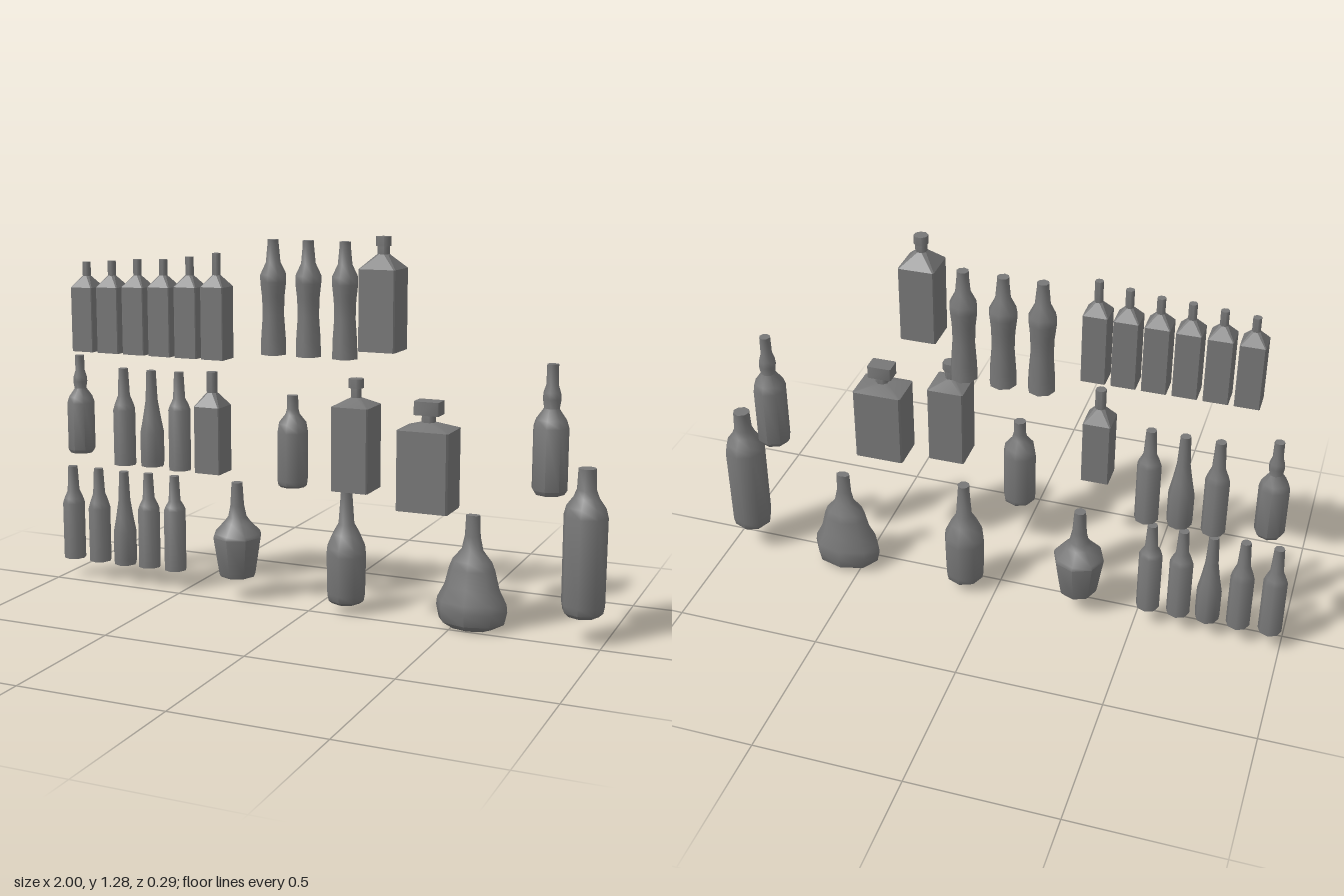
import * as THREE from 'three';
import { toCreasedNormals } from 'three/addons/utils/BufferGeometryUtils.js';

const ROUND_Z = -0.055, SQUARE_Z = 0.08;
const material = new THREE.MeshStandardMaterial({ color: 0x777777 });

function addMesh(parent, geometry, crease, name) {
  const mesh = new THREE.Mesh(toCreasedNormals(geometry, crease), material);
  mesh.name = name;
  parent.add(mesh);
  return mesh;
}

// Eight-sided turned bottle; profile is [radius, y] from base to mouth
function roundBottle(group, name, x, profile) {
  const points = [[0, profile[0][1]], ...profile, [0, profile[profile.length - 1][1]]];
  const geometry = new THREE.LatheGeometry(points.map(([r, y]) => new THREE.Vector2(r, y)), 8);
  const mesh = addMesh(group, geometry, 0.9, name);
  mesh.position.set(x, 0, ROUND_Z);
  return mesh;
}

// Chamfered rectangular rings [y, halfWidth, halfDepth, chamfer], skinned and closed
function loft(rings) {
  const position = [], index = [];
  for (const [y, w, d, c] of rings) {
    const ring = [[w, d - c], [w - c, d], [c - w, d], [-w, d - c],
      [-w, c - d], [c - w, -d], [w - c, -d], [w, c - d]];
    for (const [px, pz] of ring) position.push(px, y, pz);
  }
  const last = (rings.length - 1) * 8;
  for (let r = 0; r < last; r += 8) {
    for (let i = 0; i < 8; i++) {
      const a = r + i, b = r + (i + 1) % 8;
      index.push(a, a + 8, b, b, a + 8, b + 8);
    }
  }
  for (let i = 1; i < 7; i++) {
    index.push(0, i, i + 1, last, last + i + 1, last + i);
  }
  const geometry = new THREE.BufferGeometry();
  geometry.setAttribute('position', new THREE.Float32BufferAttribute(position, 3));
  geometry.setIndex(index);
  return geometry;
}

// Square bottle: body with sloping shoulder, octagonal neck and an optional stopper
function squareBottle(group, name, x, { base, shoulder, neckBase, top, w, d = w, neck, cap }) {
  const bottle = new THREE.Group();
  bottle.name = name;
  bottle.position.set(x, 0, SQUARE_Z);
  group.add(bottle);

  const c = w * 0.07, oct = neck * 0.586;
  addMesh(bottle, loft([[base, w, d, c], [shoulder, w, d, c], [neckBase, neck, neck, oct]]), 0.5, 'body');
  const neckTop = cap ? cap.y : top;
  addMesh(bottle, loft([[neckBase, neck, neck, oct], [neckTop, neck, neck, oct]]), 0.9, 'neck');
  if (cap) {
    addMesh(bottle, loft([[cap.y, cap.w, cap.d, cap.c], [top, cap.w, cap.d, cap.c]]), 0.9, 'stopper');
  }
}

// Common profile with a straight body
const straight = (base, shoulder, neckBase, top, r) => [
  [r, base], [r, shoulder], [r * 0.85, shoulder + (neckBase - shoulder) * 0.4],
  [0.022, neckBase], [0.017, top]];

// Long tapering shoulder
const tapered = (base, r) => [
  [r * 0.95, base], [r, base + 0.02], [r, base + 0.12], [r * 0.75, base + 0.175],
  [0.022, base + 0.235], [0.017, base + 0.34]];

// Bulb-necked bottle, built at size s
const bulbNeck = (base, s) => [
  [0.048, 0], [0.058, 0.015], [0.058, 0.215], [0.05, 0.24], [0.025, 0.275],
  [0.03, 0.305], [0.028, 0.325], [0.02, 0.35], [0.019, 0.415]
].map(([r, y]) => [r * s, base + y * s]);

export function createModel() {
  const group = new THREE.Group();
  group.name = 'bottleCollection';

  // Top row: small square bottles of rising height
  [1.165, 1.172, 1.18, 1.183, 1.195, 1.21].forEach((top, i) => {
    squareBottle(group, 'smallSquareBottle', -0.794 + i * 0.0995,
      { base: 0.86, shoulder: 1.08 + i * 0.004, neckBase: 1.118 + i * 0.004, top, w: 0.041, neck: 0.013 });
  });

  // Top row: waisted bottles
  for (const x of [-0.153, -0.025, 0.106]) {
    roundBottle(group, 'waistedBottle', x, [
      [0.045, 0.866], [0.044, 0.92], [0.038, 1.0], [0.04, 1.06], [0.046, 1.11],
      [0.046, 1.135], [0.026, 1.175], [0.02, 1.235], [0.02, 1.25]]);
  }

  // Square bottles with stoppers
  squareBottle(group, 'tallStopperBottle', 0.291, {
    base: 0.921, shoulder: 1.18, neckBase: 1.225, top: 1.28, w: 0.061, neck: 0.018,
    cap: { y: 1.25, w: 0.022, d: 0.022, c: 0.013 } });
  squareBottle(group, 'squareDecanter', 0.202, {
    base: 0.462, shoulder: 0.738, neckBase: 0.764, top: 0.825, w: 0.063, neck: 0.016,
    cap: { y: 0.795, w: 0.023, d: 0.023, c: 0.013 } });
  squareBottle(group, 'wideDecanter', 0.449, {
    base: 0.42, shoulder: 0.68, neckBase: 0.702, top: 0.77, w: 0.086, d: 0.066, neck: 0.021,
    cap: { y: 0.726, w: 0.042, d: 0.03, c: 0.004 } });
  squareBottle(group, 'squareBottle', -0.317, {
    base: 0.474, shoulder: 0.7, neckBase: 0.745, top: 0.815, w: 0.047, neck: 0.017 });

  // Middle row: round bottles
  roundBottle(group, 'bulbNeckBottle', -0.918, bulbNeck(0.466, 0.85));
  roundBottle(group, 'largeBulbNeckBottle', 0.808, bulbNeck(0.475, 1));
  roundBottle(group, 'slimBottle', -0.739, straight(0.436, 0.635, 0.685, 0.782, 0.04));
  roundBottle(group, 'taperedBottle', -0.627, tapered(0.441, 0.043));
  roundBottle(group, 'slimBottle', -0.517, straight(0.436, 0.65, 0.69, 0.782, 0.04));
  roundBottle(group, 'shortBottle', -0.083, [
    [0.042, 0.416], [0.052, 0.424], [0.055, 0.44], [0.055, 0.605], [0.05, 0.635],
    [0.026, 0.665], [0.021, 0.685], [0.02, 0.73]]);

  // Bottom row: slim bottles around a tapered one
  [[-0.96, 0.275], [-0.852, 0.265], [-0.647, 0.28], [-0.542, 0.288]].forEach(([x, shoulder]) => {
    roundBottle(group, 'slimBottle', x, straight(0.069, shoulder, 0.32, 0.41, 0.04));
  });
  roundBottle(group, 'taperedBottle', -0.747, tapered(0.068, 0.042));

  // Bottom row: wide and large bottles
  roundBottle(group, 'flaredBottle', -0.295, [
    [0.062, 0.078], [0.067, 0.088], [0.088, 0.22], [0.083, 0.232], [0.047, 0.27],
    [0.034, 0.288], [0.025, 0.33], [0.02, 0.41]]);
  roundBottle(group, 'roundedBottle', 0.115, [
    [0.05, 0.031], [0.064, 0.042], [0.069, 0.067], [0.072, 0.2], [0.069, 0.225],
    [0.048, 0.272], [0.029, 0.305], [0.021, 0.41], [0.021, 0.43]]);
  roundBottle(group, 'largeBottle', 0.928, [
    [0.052, 0.089], [0.066, 0.102], [0.071, 0.128], [0.072, 0.415], [0.064, 0.445],
    [0.042, 0.475], [0.032, 0.5], [0.029, 0.568]]);

  // Oval flask, flattened front to back
  const flask = roundBottle(group, 'ovalFlask', 0.559, [
    [0.072, 0], [0.112, 0.022], [0.122, 0.065], [0.119, 0.092], [0.094, 0.14],
    [0.079, 0.2], [0.068, 0.228], [0.037, 0.265], [0.027, 0.31], [0.024, 0.38]]);
  flask.scale.z = 0.69;

  return group;
}
